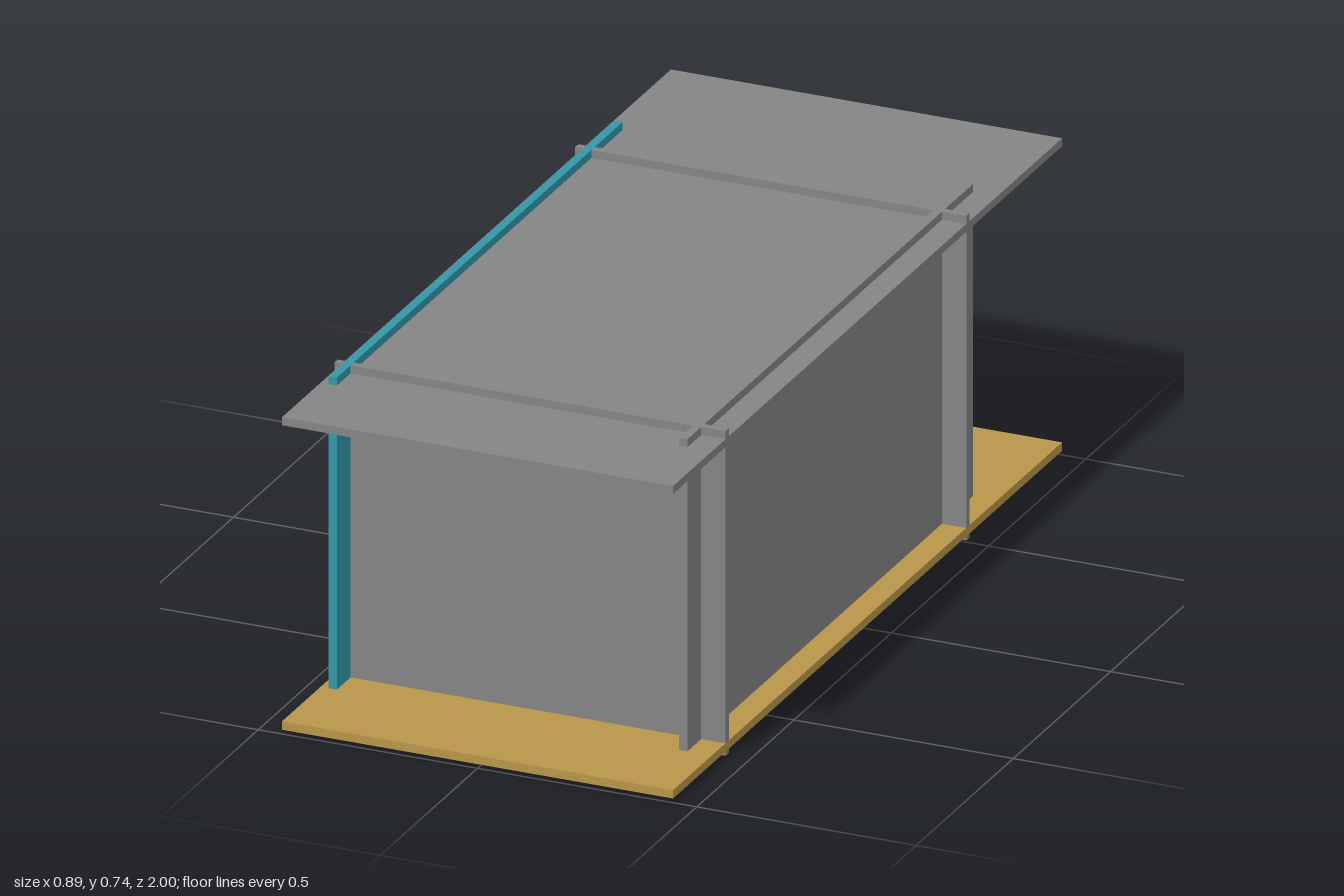
import * as THREE from 'three';

const W = 0.446;            // half width of the plates
const H = 0.737;            // total height
const T = 0.019;            // board thickness
const FLOOR = [0.0095, 0.0285];
const ROOF = [0.701, 0.719];
const SIDE_X = [-0.4185, 0.381];
const CROSS_Z = [0.722, -0.516];

export function createModel() {
  const model = new THREE.Group();
  const grey = new THREE.MeshStandardMaterial({ color: 0x848484 });
  grey.name = 'grey board';
  const teal = new THREE.MeshStandardMaterial({ color: 0x3496a8 });
  teal.name = 'teal board';
  const wood = new THREE.MeshStandardMaterial({ color: 0xb8954a });
  wood.name = 'wood board';

  function add(name, geometry, material, x, y, z) {
    const mesh = new THREE.Mesh(geometry, material);
    mesh.name = name;
    mesh.position.set(x, y, z);
    model.add(mesh);
  }

  // Horizontal floor and roof plates
  function plate(name, [y0, y1], material) {
    add(name, new THREE.BoxGeometry(2 * W, y1 - y0, 2), material, 0, (y0 + y1) / 2, 0);
  }
  plate('floorPlate', FLOOR, wood);
  plate('roofPlate', ROOF, grey);

  // Long side boards, passing through both plates
  const sideGeometry = new THREE.BoxGeometry(T, H, 1.468);
  add('rightSideBoard', sideGeometry, teal, SIDE_X[0], H / 2, 0.067);
  add('leftSideBoard', sideGeometry, grey, SIDE_X[1], H / 2, 0.067);

  // Cross boards, notched where the plates and side boards pass
  const shape = new THREE.Shape();
  const notch = 0.01, depth = 0.03, h = T / 2;
  const points = [[-W, 0]];
  for (const x of SIDE_X) points.push([x - h, 0], [x - h, depth], [x + h, depth], [x + h, 0]);
  points.push([W, 0]);
  for (const [a, b] of [FLOOR, ROOF]) points.push([W, a], [W - notch, a], [W - notch, b], [W, b]);
  points.push([W, H]);
  for (const x of [...SIDE_X].reverse()) points.push([x + h, H], [x + h, H - depth], [x - h, H - depth], [x - h, H]);
  points.push([-W, H]);
  for (const [a, b] of [ROOF, FLOOR]) points.push([-W, b], [notch - W, b], [notch - W, a], [-W, a]);
  shape.setFromPoints(points.map(([x, y]) => new THREE.Vector2(x, y)));

  const crossGeometry = new THREE.ExtrudeGeometry(shape, { depth: 0.017, bevelEnabled: false });
  crossGeometry.translate(0, 0, -0.0085);
  add('frontCrossBoard', crossGeometry, grey, 0, 0, CROSS_Z[0]);
  add('backCrossBoard', crossGeometry, grey, 0, 0, CROSS_Z[1]);

  return model;
}
